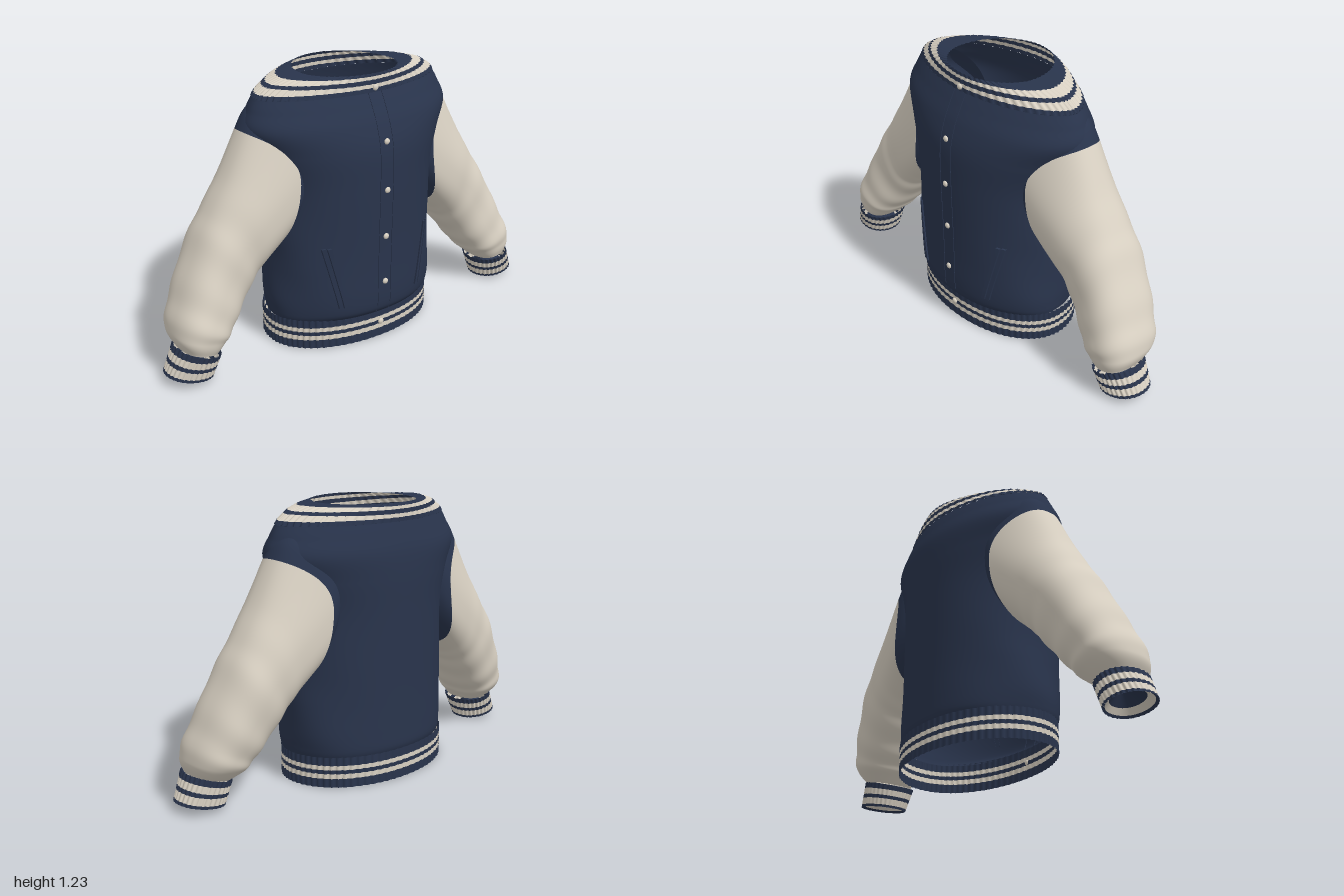
import * as THREE from 'three';
import { ParametricGeometry } from 'three/addons/geometries/ParametricGeometry.js';

const navy = new THREE.MeshStandardMaterial({ color: 0x29344c, side: THREE.DoubleSide });
navy.name = 'navy wool';
const cream = new THREE.MeshStandardMaterial({ color: 0xd9d1c3, side: THREE.DoubleSide });
cream.name = 'cream leather';

// Smooth interpolation through a list of cross-section rows
function sample(rows, t) {
  const last = rows.length - 1, k = t * last;
  const i = Math.max(0, Math.min(Math.floor(k), last - 1)), f = k - i;
  const a = rows[Math.max(i - 1, 0)], b = rows[i], c = rows[i + 1], d = rows[Math.min(i + 2, last)];
  return b.map((q, j) => {
    const m0 = (c[j] - a[j]) / 2, m1 = (d[j] - q) / 2, e = c[j] - q;
    return q + f * (m0 + f * (3 * e - 2 * m0 - m1 + f * (m0 + m1 - 2 * e)));
  });
}
const power = (v, n) => Math.sign(v) * Math.abs(v) ** (2 / n);

function addMesh(group, name, geometry, material) {
  const mesh = new THREE.Mesh(geometry, material);
  mesh.name = name;
  group.add(mesh);
  return mesh;
}

// Body rows, bottom to top: half width, front z, back z, y at front, y at sides, roundness
const bodyRows = [
  [0.412, 0.265, -0.292, 0.13, 0.13, 2.1],
  [0.418, 0.285, -0.3, 0.16, 0.16, 2.1],
  [0.424, 0.292, -0.3, 0.23, 0.23, 2.1],
  [0.42, 0.292, -0.298, 0.36, 0.36, 2.1],
  [0.415, 0.294, -0.298, 0.5, 0.5, 2.1],
  [0.42, 0.3, -0.3, 0.75, 0.75, 2.05],
  [0.47, 0.297, -0.302, 0.91, 0.91, 2],
  [0.527, 0.27, -0.296, 1.02, 1.02, 1.95],
  [0.502, 0.234, -0.277, 1.1, 1.1, 1.85],
  [0.475, 0.208, -0.262, 1.15, 1.15, 1.8],
];

function bodyLoft(rows, segments, stacks, displace) {
  return new ParametricGeometry((u, v, p) => {
    const a = u * Math.PI * 2, [w, zf, zb, yf, ys, n] = sample(rows, v);
    const s = Math.sin(a), c = Math.cos(a);
    const k = 1 + displace(a, yf);
    p.set(power(s, n) * w * k, yf + (ys - yf) * s * s,
      power(c, n) * (c > 0 ? zf : -zb) * k);
  }, segments, stacks);
}

// Front surface of the body at a given x, y
function frontZ(x, y) {
  let lo = 0, hi = 1;
  for (let i = 0; i < 24; i++) {
    const mid = (lo + hi) / 2;
    if (sample(bodyRows, mid)[3] < y) lo = mid; else hi = mid;
  }
  const row = sample(bodyRows, lo), n = row[5];
  return row[1] * (1 - Math.min(Math.abs(x / row[0]), 1) ** n) ** (1 / n);
}

// Thin strip lying on the front of the body
function frontStrip(x0, y0, x1, y1, width, thickness) {
  const length = Math.hypot(x1 - x0, y1 - y0);
  const g = new THREE.BoxGeometry(width, length, thickness, 2, 24, 1);
  g.rotateZ(-Math.atan2(x1 - x0, y1 - y0));
  g.translate((x0 + x1) / 2, (y0 + y1) / 2, thickness / 2 - 0.001);
  const p = g.attributes.position;
  for (let i = 0; i < p.count; i++) p.setZ(i, p.getZ(i) + frontZ(p.getX(i), p.getY(i)));
  g.computeVertexNormals();
  return g;
}

// Sleeve rows: outer edge x, y, inner edge x, y, front z, back z, inward bulge of the seam
const shoulderRows = [
  [0.46, 1.135, 0.31, 0.62, 0.14, -0.19, 0.1],
  [0.508, 1.083, 0.37, 0.56, 0.163, -0.21, 0.11],
  [0.542, 1.02, 0.425, 0.5, 0.175, -0.221, 0.11],
];
const sleeveRows = [
  [0.542, 1.02, 0.425, 0.5, 0.176, -0.222, 0.11],
  [0.64, 0.83, 0.475, 0.455, 0.168, -0.207, 0.05],
  [0.72, 0.7, 0.52, 0.41, 0.155, -0.195, 0.02],
  [0.79, 0.58, 0.565, 0.355, 0.155, -0.185, 0],
  [0.87, 0.42, 0.63, 0.27, 0.168, -0.165, 0],
  [0.925, 0.3, 0.685, 0.2, 0.185, -0.14, 0],
  [0.947, 0.215, 0.72, 0.16, 0.182, -0.115, 0],
  [0.925, 0.15, 0.765, 0.12, 0.165, -0.055, 0],
];
const cuffRows = [
  [0.938, 0.158, 0.752, 0.112, 0.183, -0.063, 0],
  [0.993, 0.042, 0.785, 0.007, 0.16, -0.05, 0],
];
// Inside of the cuff, from the rim up to the closed wrist
const wristRows = [cuffRows[1], [0.87, 0.112, 0.83, 0.105, 0.075, 0.045, 0]];

function armLoft(rows, side, n, segments, stacks, displace, t0 = 0, t1 = 1) {
  return new ParametricGeometry((u, v, p) => {
    const a = side * u * Math.PI * 2, t = t0 + (t1 - t0) * v;
    const [ox, oy, ix, iy, zf, zb, bulge] = sample(rows, t);
    const k = 1 + displace(a, t), c = power(Math.cos(a), n) * k, s = power(Math.sin(a), n) * k;
    const seam = bulge * Math.sin(a) ** 2 * (1 + 0.8 * c);
    p.set(side * ((ox + ix) / 2 + c * (ox - ix) / 2 - seam),
      (oy + iy) / 2 + c * (oy - iy) / 2,
      (zf + zb) / 2 + s * (zf - zb) / 2);
  }, segments, stacks);
}

export function createModel() {
  const jacket = new THREE.Group();
  jacket.name = 'jacket';
  const none = () => 0;
  const rib = (count, size) => a => size * Math.cos(a * count);
  const stripe = i => (i % 2 ? cream : navy);

  // Body with soft side folds
  addMesh(jacket, 'body', bodyLoft(bodyRows, 96, 60, (a, y) =>
    0.014 * Math.sin(a) ** 2 * Math.sin(5 * a + 14 * y) * Math.max(0, 0.9 - y)), navy);

  // Ribbed hem in five bands
  const hemLevels = [0, 0.04, 0.062, 0.08, 0.1, 0.138];
  for (let i = 0; i < 5; i++) {
    const rows = [hemLevels[i], hemLevels[i + 1]].map(y => [0.423, 0.262, -0.302, y, y, 2.1]);
    addMesh(jacket, 'hemBand' + i, bodyLoft(rows, 288, 1, rib(72, 0.008)), stripe(i));
  }

  // Ribbed collar spreading over the shoulders
  const collarRows = [
    [0.475, 0.208, -0.262, 1.15, 1.15, 1.8],
    [0.464, 0.206, -0.262, 1.168, 1.168, 1.75],
    [0.425, 0.205, -0.261, 1.184, 1.193, 1.75],
    [0.405, 0.203, -0.26, 1.203, 1.205, 1.75],
    [0.345, 0.202, -0.258, 1.217, 1.222, 1.8],
    [0.238, 0.2, -0.252, 1.23, 1.225, 2],
  ];
  for (let i = 0; i < 5; i++) {
    addMesh(jacket, 'collarBand' + i,
      bodyLoft([collarRows[i], collarRows[i + 1]], 240, 3, rib(60, 0.011)), stripe(i));
  }

  // Stitched edges of the button placket
  for (const x of [-0.038, 0.032]) {
    addMesh(jacket, 'placketEdge', frontStrip(x, 0.14, x, 1.15, 0.005, 0.004), navy);
  }

  // Snap buttons
  for (const y of [0.075, 0.29, 0.51, 0.73, 0.95, 1.17]) {
    const z = y < 0.1 ? 0.266 : y > 1.15 ? 0.21 : frontZ(0, y) + 0.002;
    const button = addMesh(jacket, 'button', new THREE.SphereGeometry(0.014, 16, 10), cream);
    button.scale.z = 0.6;
    button.position.set(-0.003, y, z);
  }

  for (const side of [1, -1]) {
    const arm = new THREE.Group();
    arm.name = side > 0 ? 'leftArm' : 'rightArm';
    jacket.add(arm);

    // Slanted welt pocket
    for (const dx of [-0.011, 0.011]) {
      addMesh(jacket, 'pocketWelt',
        frontStrip(side * (0.212 + dx), 0.205, side * (0.28 + dx), 0.495, 0.016, 0.01), navy);
    }

    // Shoulder cap, then sleeve with folds that deepen toward the wrist
    addMesh(arm, 'shoulder', armLoft(shoulderRows, side, 2.5, 72, 10, none), navy);
    addMesh(arm, 'sleeve', armLoft(sleeveRows, side, 2.5, 72, 90, (a, t) =>
      0.026 * Math.sin(Math.PI * t) * (0.1 + t) *
      Math.sin(34 * t + 1.3 * Math.cos(a) + 0.9 * Math.sin(a))), cream);

    // Ribbed cuff in five bands
    const cuffLevels = [0, 0.27, 0.48, 0.6, 0.85, 1];
    for (let i = 0; i < 5; i++) {
      addMesh(arm, 'cuffBand' + i, armLoft(cuffRows, side, 2.1, 144, 2, rib(30, 0.025),
        cuffLevels[i], cuffLevels[i + 1]), stripe(i));
    }

    // Inside of the cuff with one stripe
    const wristLevels = [0, 0.15, 0.4, 1];
    for (let i = 0; i < 3; i++) {
      addMesh(arm, 'cuffInside' + i, armLoft(wristRows, side, 2.1, 72, 2, none,
        wristLevels[i], wristLevels[i + 1]), stripe(i));
    }
  }
  return jacket;
}
